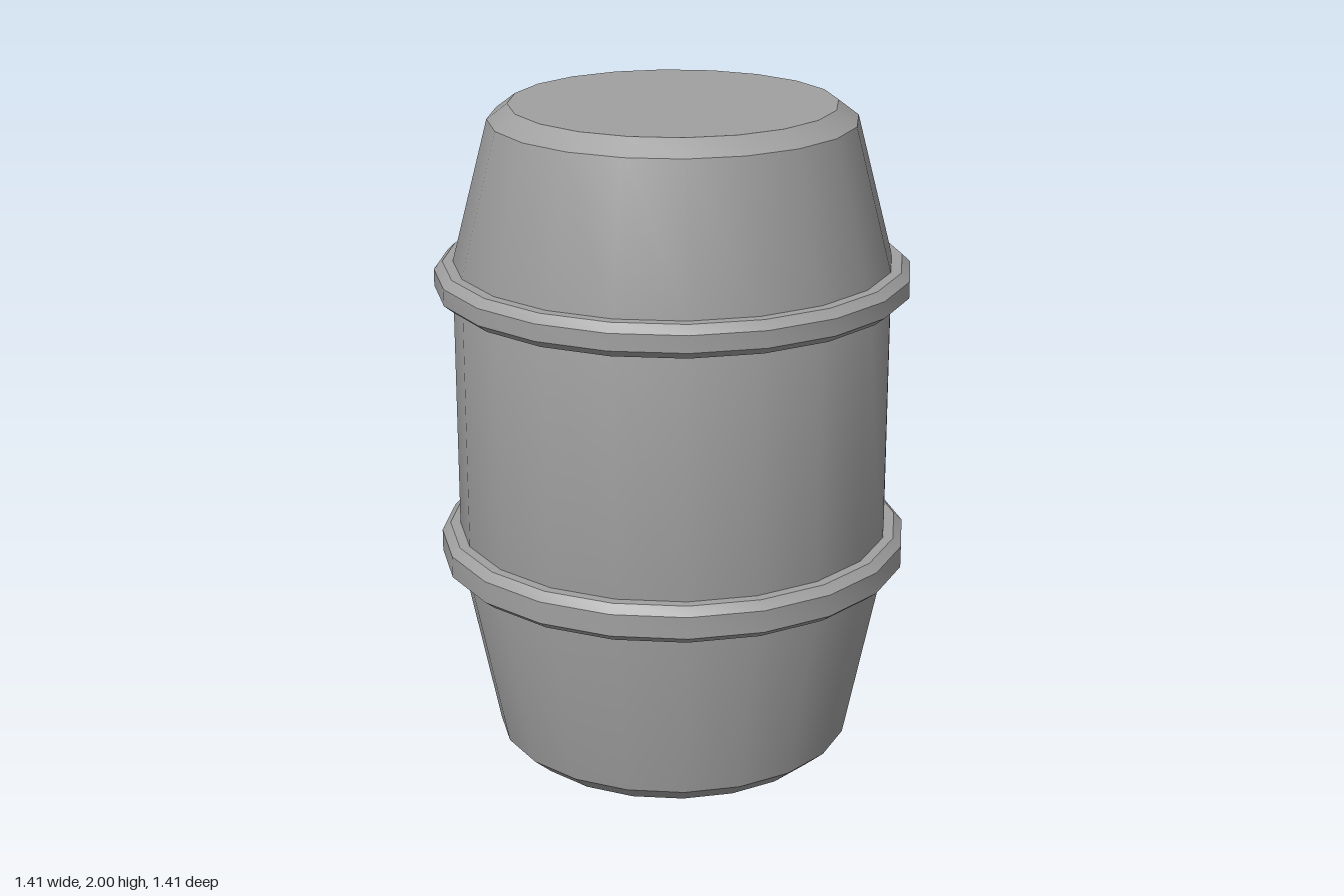
import * as THREE from 'three';
import { toCreasedNormals } from 'three/addons/utils/BufferGeometryUtils.js';

const SIDES = 20;

export function createModel() {
  const group = new THREE.Group();
  group.name = 'barrel';
  const grey = new THREE.MeshStandardMaterial({ color: 0xa0a0a0 });
  grey.name = 'grey';

  // Revolve a [radius, height] profile, smooth around the sides, sharp at the rims
  const turn = (name, profile) => {
    const points = profile.map(([r, y]) => new THREE.Vector2(r, y));
    const geometry = toCreasedNormals(new THREE.LatheGeometry(points, SIDES), 0.5);
    const mesh = new THREE.Mesh(geometry, grey);
    mesh.name = name;
    group.add(mesh);
  };

  // Barrel body: chamfered ends, tapered thirds, straight middle
  turn('body', [
    [0, 0], [0.48, 0], [0.54, 0.052], [0.65, 0.595],
    [0.65, 1.53], [0.54, 1.955], [0.48, 2], [0, 2],
  ]);

  // Hoops with chamfered outer edges
  const hoop = (name, bottom, top) => turn(name, [
    [0.64, bottom], [0.675, bottom], [0.705, bottom + 0.024],
    [0.705, top - 0.024], [0.68, top], [0.64, top],
  ]);
  hoop('lowerHoop', 0.596, 0.71);
  hoop('upperHoop', 1.436, 1.534);

  return group;
}
